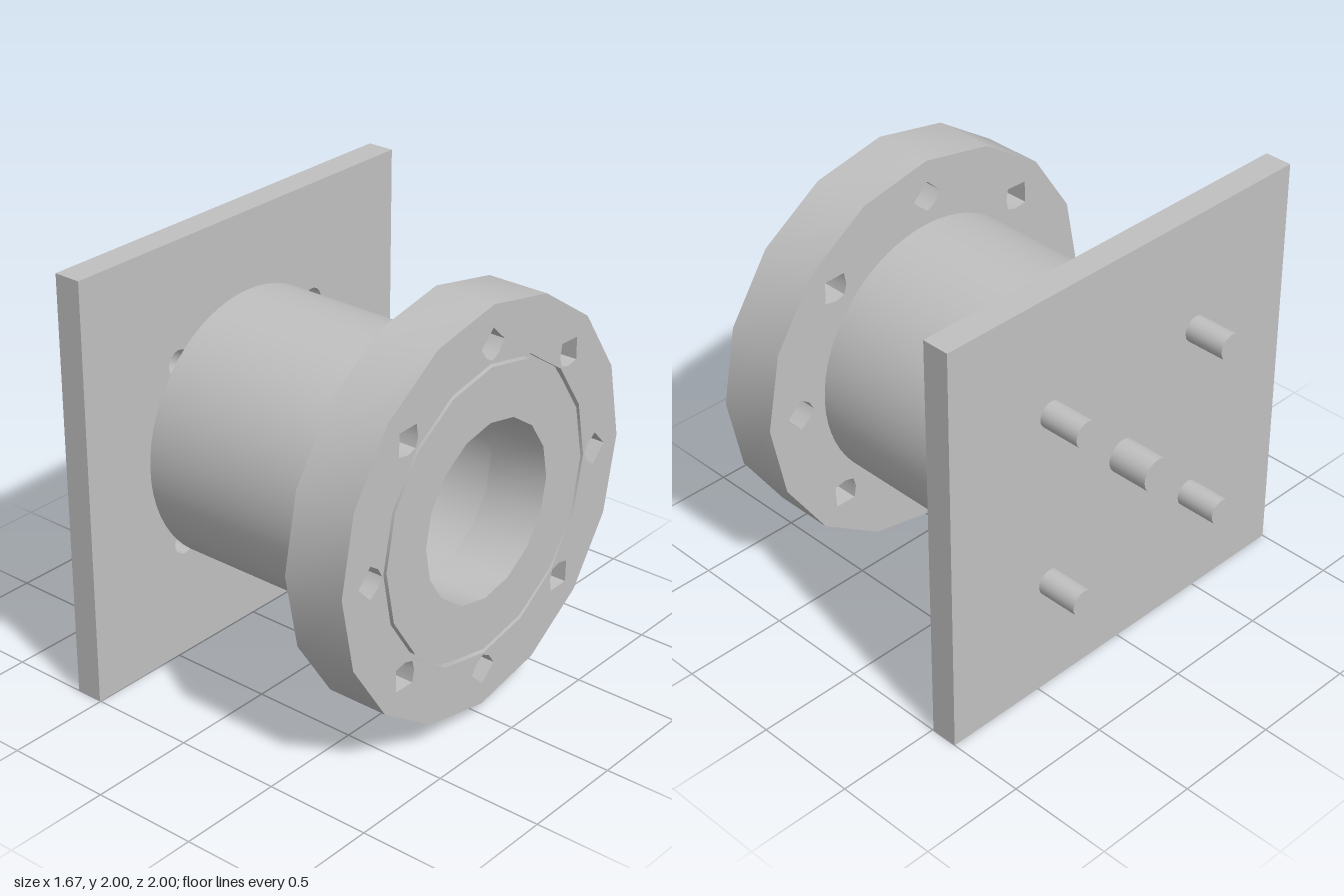
import * as THREE from 'three';
import { toCreasedNormals } from 'three/addons/utils/BufferGeometryUtils.js';

// Points of a regular polygon
function ring(radius, sides, cx = 0, cy = 0) {
  return Array.from({ length: sides }, (_, i) => {
    const a = (i / sides) * Math.PI * 2;
    return new THREE.Vector2(cx + radius * Math.cos(a), cy + radius * Math.sin(a));
  });
}

// Outline with holes, extruded along x from x0 to x1
function slab(outline, holes, x0, x1) {
  const shape = new THREE.Shape(outline);
  shape.holes = holes.map((h) => new THREE.Path(h));
  const geo = new THREE.ExtrudeGeometry(shape, { depth: x1 - x0, bevelEnabled: false });
  geo.rotateY(Math.PI / 2).translate(x0, 0, 0);
  return toCreasedNormals(geo, Math.PI / 6);
}

// Cylinder along x from x0 to x1
function rod(radius, x0, x1, sides, open = false) {
  return new THREE.CylinderGeometry(radius, radius, x1 - x0, sides, 1, open)
    .rotateZ(-Math.PI / 2).translate((x0 + x1) / 2, 0, 0);
}

export function createModel() {
  const model = new THREE.Group();
  const grey = new THREE.MeshStandardMaterial({ name: 'grey metal', color: 0xc0c0c0 });
  const greyInside = grey.clone();
  greyInside.side = THREE.BackSide;
  const add = (name, geo, mat = grey) => {
    const mesh = new THREE.Mesh(geo, mat);
    mesh.name = name;
    mesh.position.y = 1;
    model.add(mesh);
    return mesh;
  };

  const plateBack = -0.635, plateFront = -0.505, flangeBack = 0.54, flangeFront = 0.835;
  const bore = 0.415;

  // Square plate with a recess in front of every pin
  const pins = [[0, 0, 0.08]];
  for (const y of [-1, 1]) for (const z of [-1, 1]) pins.push([y * 0.435, z * 0.435, 0.062]);
  const square = [[-1, -1], [1, -1], [1, 1], [-1, 1]].map(([x, y]) => new THREE.Vector2(x, y));
  add('plate', slab(square, pins.map(([y, z, r]) => ring(r, 24, -z, y)), plateBack, plateFront));

  // Pins behind the plate
  for (const [y, z, r] of pins) {
    const pin = add('pin', rod(r, -0.835, plateBack, 24));
    pin.position.set(0, 1 + y, z);
  }

  // Pipe between plate and flange
  add('pipe', rod(0.633, plateFront, flangeBack, 64, true));
  add('pipeBore', rod(bore, plateFront, flangeBack, 64, true), greyInside);

  // Flange ring with eight bolt holes, each given as radial and sideways offsets
  const profile = [[0.073, 0], [0, 0.077], [-0.05, 0.042], [-0.073, 0], [-0.05, -0.042], [0, -0.077]];
  const boltHoles = Array.from({ length: 8 }, (_, i) => {
    const a = (i * Math.PI) / 4, c = Math.cos(a), s = Math.sin(a);
    return profile.map(([u, v]) =>
      new THREE.Vector2((0.77 + u) * c - v * s, (0.77 + u) * s + v * c));
  });
  add('flange', slab(ring(0.945, 16), [ring(0.688, 16), ...boltHoles], flangeBack, flangeFront));

  // Sealing face set inside the flange, with a narrow groove around it
  add('sealingFace', slab(ring(0.668, 16), [ring(bore, 16)], flangeBack, flangeFront));
  add('grooveFloor', slab(ring(0.688, 16), [ring(0.668, 16)], flangeBack, flangeFront - 0.03));

  return model;
}
